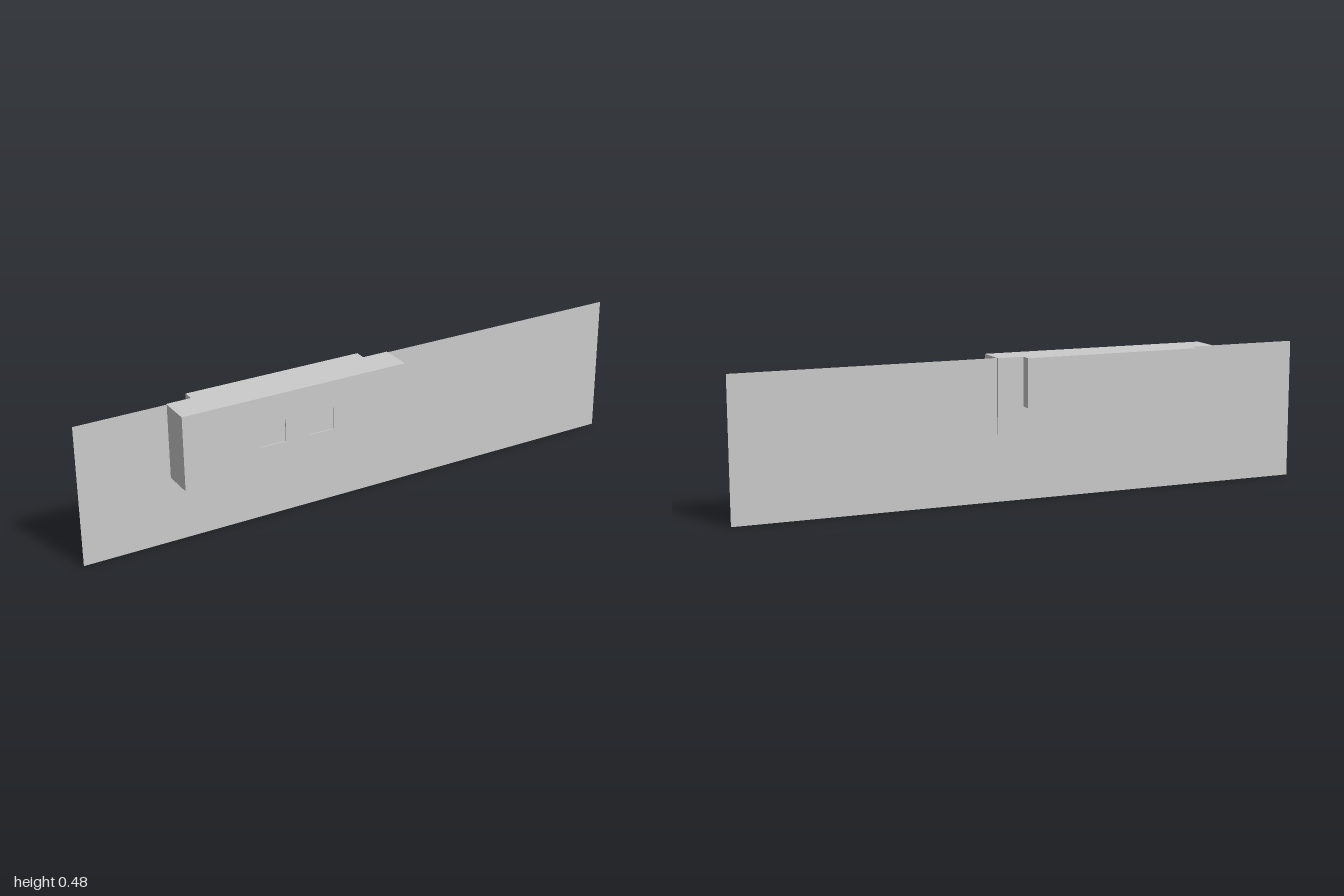
import * as THREE from 'three';

const material = new THREE.MeshStandardMaterial({ color: 0xcccccc, flatShading: true });
const sheetMaterial = new THREE.MeshStandardMaterial({ color: 0xcccccc, side: THREE.DoubleSide });

// Box given by its limits on each axis
function box(name, [x0, x1], [y0, y1], [z0, z1]) {
  const mesh = new THREE.Mesh(new THREE.BoxGeometry(x1 - x0, y1 - y0, z1 - z0), material);
  mesh.position.set((x0 + x1) / 2, (y0 + y1) / 2, (z0 + z1) / 2);
  mesh.name = name;
  return mesh;
}

// Closed rectangle added to a shape or path
function rectangle(path, x0, y0, x1, y1) {
  path.moveTo(x0, y0);
  path.lineTo(x1, y0);
  path.lineTo(x1, y1);
  path.lineTo(x0, y1);
  path.closePath();
  return path;
}

export function createModel() {
  const group = new THREE.Group();
  const top = 0.48, left = -0.69, right = 0.11, bottom = 0.227;
  const front = 0.076, recess = 0.004;

  // Thin upright wall sheet
  const wall = new THREE.Mesh(new THREE.PlaneGeometry(2, top), sheetMaterial);
  wall.position.set(0, top / 2, -0.031);
  wall.name = 'wallSheet';
  group.add(wall);

  // Main housing, passing slightly through the wall
  group.add(box('housing', [left, right], [bottom, top], [-0.037, front - recess]));

  // Front plate with two shallow square recesses
  const plate = rectangle(new THREE.Shape(), left, bottom, right, top);
  for (const x of [-0.424, -0.248]) {
    plate.holes.push(rectangle(new THREE.Path(), x, 0.31, x + 0.09, 0.386));
  }
  const frontPlate = new THREE.Mesh(
    new THREE.ExtrudeGeometry(plate, { depth: recess, bevelEnabled: false }), material);
  frontPlate.position.z = front - recess;
  frontPlate.name = 'frontPlate';
  group.add(frontPlate);

  // Smaller block on the back
  group.add(box('rearBlock', [-0.605, 0.02], [0.315, top], [-0.076, -0.037]));

  return group;
}
